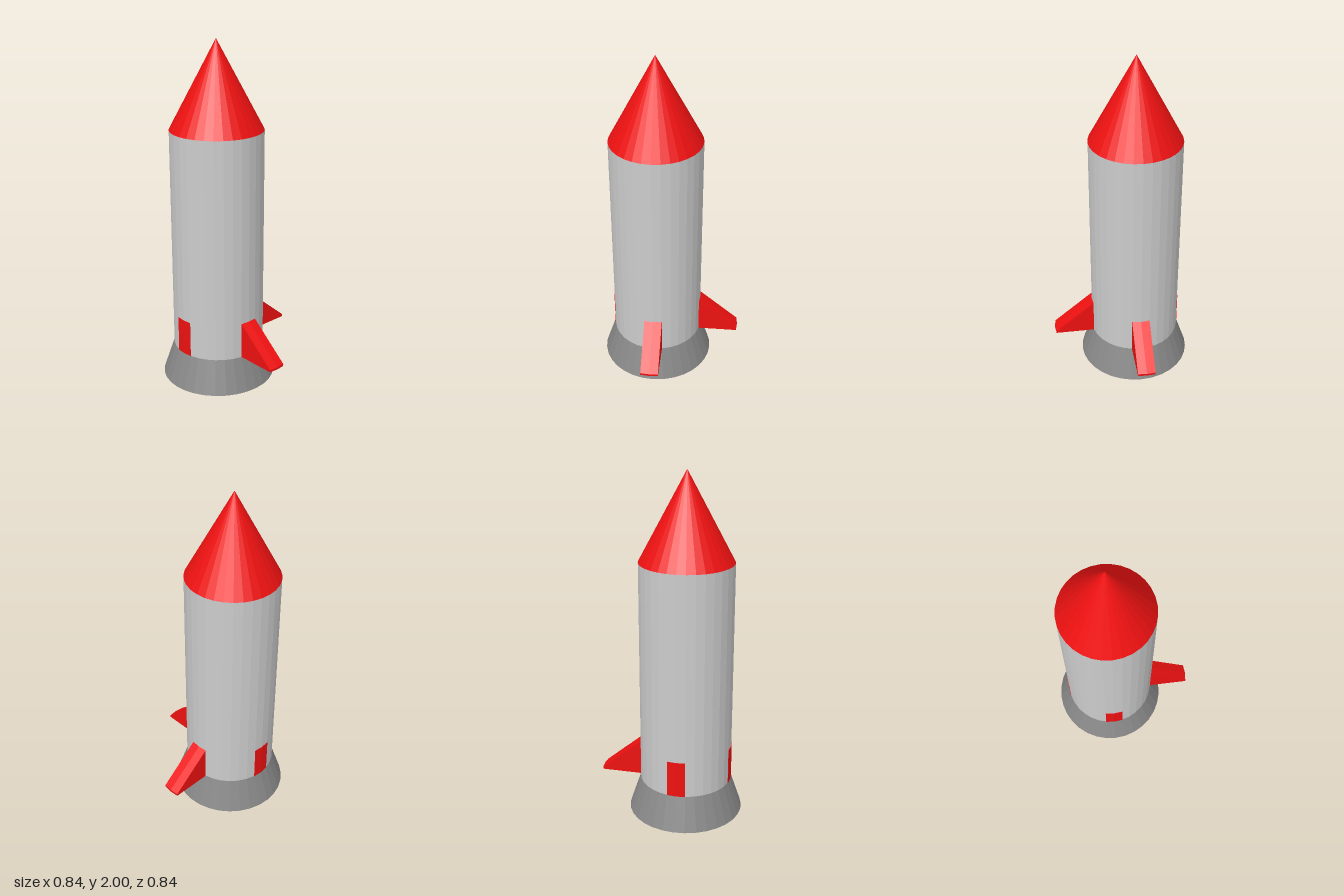
import * as THREE from 'three';

const SIDES = 32, R = 0.267, BASE = 0.197;
const material = (color, side = THREE.FrontSide) =>
  new THREE.MeshStandardMaterial({ color, flatShading: true, side });
const grey = material(0xcccccc);
const darkGrey = material(0x888888);
const red = material(0xee1111);
const soot = material(0x2a2a2a, THREE.DoubleSide);

function add(parent, name, geometry, mat, y = 0) {
  const mesh = new THREE.Mesh(geometry, mat);
  mesh.name = name;
  mesh.position.y = y;
  parent.add(mesh);
  return mesh;
}

const lathe = (points) =>
  new THREE.LatheGeometry(points.map(([r, y]) => new THREE.Vector2(r, y)), SIDES);

// Radial profile extruded to the fin's thickness, its outer face bowed at the middle
function finGeometry(profile, thickness = 0.105, bow = 0.005) {
  const shape = new THREE.Shape(profile.map(([r, y]) => new THREE.Vector2(r, y)));
  const geo = new THREE.ExtrudeGeometry(shape, { depth: thickness, steps: 2, bevelEnabled: false });
  geo.translate(0, 0, -thickness / 2);
  const p = geo.attributes.position;
  for (let i = 0; i < p.count; i++) {
    if (Math.abs(p.getZ(i)) < 1e-4) p.setX(i, p.getX(i) + bow);
  }
  geo.computeVertexNormals();
  return geo;
}

export function createModel() {
  const model = new THREE.Group();
  model.name = 'rocket';
  const rocket = new THREE.Group();
  rocket.name = 'rocketBody';
  rocket.position.set(-0.085, 0, -0.085);
  model.add(rocket);

  // Hull and nose
  add(rocket, 'hull', new THREE.CylinderGeometry(R, R, 1.5 - BASE, SIDES), grey, (1.5 + BASE) / 2);
  add(rocket, 'noseCone', new THREE.ConeGeometry(R, 0.5, SIDES), red, 1.75);

  // Hollow flared nozzle with a thin rim
  add(rocket, 'nozzle', lathe([[0.315, 0], [0.333, 0], [R, BASE]]), darkGrey);
  add(rocket, 'nozzleInterior', lathe([[0.315, 0], [0.25, 0.185], [0, 0.185]]), soot);

  // Two swept fins on the left and front, two flush plates opposite them
  const fin = finGeometry([[0.2, BASE], [0.498, BASE], [0.498, 0.21], [0.262, 0.41], [0.2, 0.41]]);
  const plate = finGeometry([[0.2, BASE], [0.264, BASE], [0.264, 0.41], [0.2, 0.41]]);
  [['leftFin', fin, 0], ['frontFin', fin, -Math.PI / 2],
    ['rightFinPlate', plate, Math.PI], ['backFinPlate', plate, Math.PI / 2]]
    .forEach(([name, geo, angle]) => { add(rocket, name, geo, red).rotation.y = angle; });

  return model;
}
